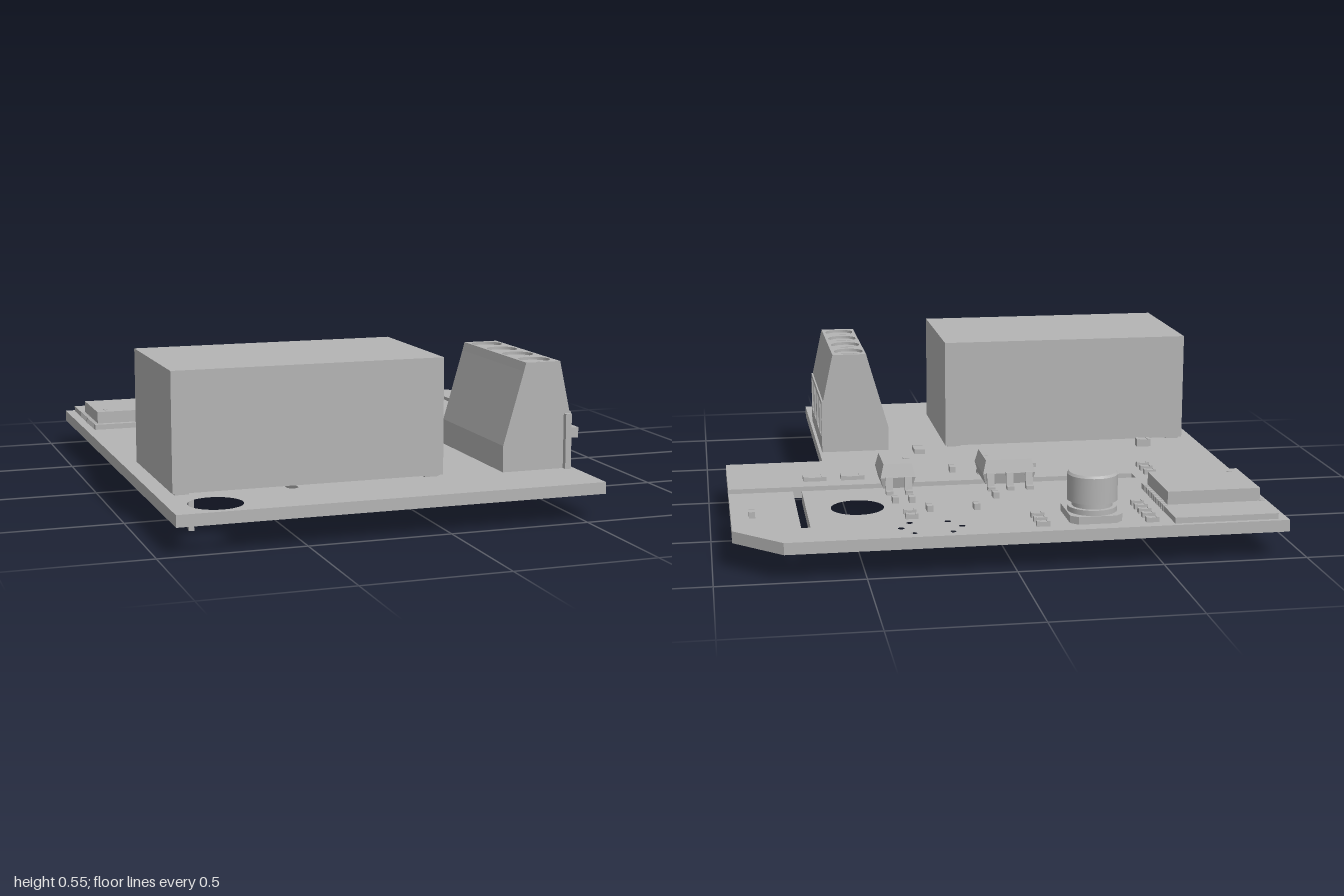
import * as THREE from 'three';

const TOP = 0.136; // upper face of the board

export function createModel() {
  const root = new THREE.Group();
  const grey = new THREE.MeshStandardMaterial({ color: 0xb4b4b4 });
  grey.name = 'plain grey';
  const greyDouble = grey.clone();
  greyDouble.side = THREE.DoubleSide;

  const add = (name, geo, parent = root, mat = grey) => {
    const mesh = new THREE.Mesh(geo, mat);
    mesh.name = name;
    parent.add(mesh);
    return mesh;
  };
  const group = (name) => {
    const g = new THREE.Group();
    g.name = name;
    root.add(g);
    return g;
  };
  // box from its extents
  const box = (name, x0, x1, y0, y1, z0, z1, parent) => {
    const g = new THREE.BoxGeometry(x1 - x0, y1 - y0, z1 - z0);
    return add(name, g.translate((x0 + x1) / 2, (y0 + y1) / 2, (z0 + z1) / 2), parent);
  };
  const cyl = (name, r0, r1, y0, y1, x, z, parent, n = 32) =>
    add(name, new THREE.CylinderGeometry(r1, r0, y1 - y0, n).translate(x, (y0 + y1) / 2, z), parent);
  const polygon = (pts) => new THREE.Shape(pts.map(([a, b]) => new THREE.Vector2(a, b)));
  const extrude = (shape, depth) =>
    new THREE.ExtrudeGeometry(shape, { depth, bevelEnabled: false, curveSegments: 24 });
  const roundHole = (shape, x, y, r) => {
    const p = new THREE.Path();
    p.absarc(x, y, r, 0, Math.PI * 2, true);
    shape.holes.push(p);
  };
  // box with a smaller top
  const taper = (x0, x1, y0, y1, z0, z1, inset, flip) => {
    const g = new THREE.BoxGeometry(x1 - x0, y1 - y0, z1 - z0).toNonIndexed();
    const p = g.attributes.position;
    for (let i = 0; i < p.count; i++) {
      if ((p.getY(i) > 0) !== flip) {
        p.setX(i, p.getX(i) - Math.sign(p.getX(i)) * inset);
        p.setZ(i, p.getZ(i) - Math.sign(p.getZ(i)) * inset);
      }
    }
    g.computeVertexNormals();
    return g.translate((x0 + x1) / 2, (y0 + y1) / 2, (z0 + z1) / 2);
  };

  // circuit board with isolation slots and holes (shape y is -z)
  const outline = polygon([
    [-0.935, 1], [0.77, 1], [0.932, 0.84], [0.932, 0.378], [0.703, 0.378], [0.703, 0.838],
    [0.672, 0.838], [0.672, 0.378], [-0.555, 0.378], [-0.555, 0.318], [0.932, 0.318],
    [0.932, -0.042], [0.567, -0.042], [0.567, -1], [-0.935, -1]]);
  roundHole(outline, -0.775, -0.88, 0.092);
  roundHole(outline, 0.495, 0.62, 0.092);
  for (const [x, z] of [[0.21, 0.955], [0.34, 0.955], [0.17, 0.895], [0.375, 0.895], [0.21, 0.835], [0.34, 0.835]])
    roundHole(outline, x, z, 0.011);
  const slit = new THREE.Path();
  slit.absarc(-0.47, -0.24, 0.02, 0, Math.PI, false);
  slit.absarc(-0.47, -0.73, 0.02, Math.PI, Math.PI * 2, false);
  slit.closePath();
  outline.holes.push(slit);
  add('board', extrude(outline, TOP - 0.095).rotateX(-Math.PI / 2).translate(0, 0.095, 0));

  // relay
  const relay = group('relay');
  box('relayCase', -0.885, 0.072, 0.144, 0.554, 0.18, 0.74, relay);
  for (const [x, z] of [[-0.85, 0.22], [-0.85, 0.7], [0.035, 0.22], [0.035, 0.7]])
    box('relayFoot', x - 0.025, x + 0.025, TOP, 0.144, z - 0.025, z + 0.025, relay);
  for (const [x, z] of [[-0.808, 0.26], [-0.808, 0.672], [-0.005, 0.4], [-0.005, 0.535]])
    box('relayPin', x - 0.009, x + 0.009, 0, 0.144, z - 0.009, z + 0.009, relay);

  // screw terminal block
  const term = group('terminalBlock');
  const ports = [0.255, 0.395, 0.535, 0.675];
  add('terminalBody', extrude(polygon([[0.297, TOP], [0.49, TOP], [0.49, 0.338], [0.55, 0.338],
    [0.517, 0.49], [0.372, 0.49], [0.297, 0.23]]), 0.56).translate(0, 0, 0.18), term);
  const panel = polygon([[-0.74, TOP], [-0.18, TOP], [-0.18, 0.338], [-0.74, 0.338]]);
  for (const z of ports) {
    const p = new THREE.Path();
    [[-0.05, 0.19], [-0.05, 0.32], [0.05, 0.32], [0.05, 0.19]].forEach(([a, y], i) =>
      i ? p.lineTo(a - z, y) : p.moveTo(a - z, y));
    p.closePath();
    panel.holes.push(p);
  }
  add('terminalFront', extrude(panel, 0.066).rotateY(Math.PI / 2).translate(0.49, 0, 0), term);
  for (const z of ports) {
    const funnel = new THREE.CylinderGeometry(Math.SQRT1_2, Math.SQRT1_2 * 0.65, 0.06, 4, 1, true)
      .toNonIndexed().rotateY(Math.PI / 4).rotateZ(-Math.PI / 2).scale(1, 0.13, 0.1);
    funnel.computeVertexNormals();
    add('wireFunnel', funnel.translate(0.525, 0.255, z), term, greyDouble);
    cyl('terminalPin', 0.012, 0.012, 0.04, TOP, 0.44, z, term, 12);
  }
  // sloping top with sunk screws
  const screws = [0.247, 0.387, 0.527, 0.667];
  const cap = polygon([[0.372, -0.74], [0.517, -0.74], [0.517, -0.18], [0.372, -0.18]]);
  screws.forEach((z) => roundHole(cap, 0.443, -z, 0.056));
  const capGeo = extrude(cap, 0.03).rotateX(-Math.PI / 2).translate(0, 0.49, 0);
  const cp = capGeo.attributes.position;
  for (let i = 0; i < cp.count; i++) {
    if (cp.getY(i) < 0.51) continue;
    if (cp.getX(i) < 0.373) cp.setX(i, 0.38);
    if (cp.getX(i) > 0.516) cp.setX(i, 0.51);
  }
  capGeo.computeVertexNormals();
  add('terminalTop', capGeo, term);
  for (const z of screws)
    for (const side of [0, 1]) {
      const half = new THREE.Shape();
      half.absarc(0, 0, 0.053, 0.17 + side * Math.PI, Math.PI - 0.17 + side * Math.PI, false);
      add('screwHalf', extrude(half, 0.02).rotateX(-Math.PI / 2).translate(0.443, 0.49, z), term);
    }
  box('terminalTab', 0.528, 0.55, TOP, 0.333, 0.74, 0.76, term);

  // radio module with metal shield
  const radio = group('radioModule');
  box('moduleBoard', -0.9, -0.54, TOP, 0.156, -0.982, -0.525, radio);
  box('moduleShield', -0.885, -0.556, 0.156, 0.202, -0.822, -0.55, radio);
  cyl('shieldDot', 0.009, 0.009, 0.202, 0.204, -0.845, -0.592, radio, 16);
  for (let i = 0; i < 12; i++)
    for (const x of [-0.902, -0.554])
      box('modulePad', x, x + 0.016, TOP, 0.158, -0.83 + i * 0.024, -0.818 + i * 0.024, radio);

  // power coil: chamfered base, neck and drum
  const coil = group('coil');
  const plate = polygon([[-0.09, 0.065], [-0.065, 0.09], [0.065, 0.09], [0.09, 0.065],
    [0.09, -0.09], [-0.09, -0.09]]);
  add('coilBase', extrude(plate, 0.026).rotateX(-Math.PI / 2).translate(-0.282, TOP, -0.855), coil);
  add('coilDrum', new THREE.LatheGeometry([[0, 0.16], [0.085, 0.16], [0.085, 0.18], [0.07, 0.18], [0.07, 0.2],
    [0.086, 0.2], [0.086, 0.29], [0.08, 0.298], [0, 0.298]].flatMap(([r, y], i) =>
    i ? [new THREE.Vector2(r, y), new THREE.Vector2(r, y)] : [new THREE.Vector2(r, y)]), 40)
    .translate(-0.282, 0, -0.855), coil);

  // optocouplers with bent leads
  const lead = polygon([[0.09, 0.195], [0.11, 0.195], [0.118, 0.15], [0.135, 0.15], [0.135, TOP],
    [0.106, TOP], [0.1, 0.183], [0.09, 0.183]]);
  const chip = (name, x0, x1, leads, notchX) => {
    const g = group(name);
    const zc = -0.35;
    add('chipLower', taper(x0, x1, 0.15, 0.19, zc - 0.097, zc + 0.097, 0.01, true), g);
    add('chipUpper', taper(x0, x1, 0.19, 0.238, zc - 0.097, zc + 0.097, 0.012, false), g);
    const dir = notchX > (x0 + x1) / 2 ? Math.PI : 0;
    add('chipNotch', new THREE.CylinderGeometry(0.024, 0.024, 0.003, 20, 1, false, dir, Math.PI)
      .translate(notchX, 0.238, zc), g);
    for (const x of leads)
      for (const s of [1, -1])
        add('chipLead', extrude(lead, 0.026).translate(0, 0, -0.013).rotateY(-s * Math.PI / 2)
          .translate(x, 0, zc), g);
  };
  chip('wideOptocoupler', -0.165, 0.025, [-0.14, -0.07, 0], 0.013);
  chip('narrowOptocoupler', 0.27, 0.395, [0.297, 0.366], 0.282);

  // small surface parts: [x, z, width, depth, height]
  const parts = [
    ...[-0.945, -0.89, -0.838, -0.787, -0.737].map((z) => [-0.47, z, 0.045, 0.021, 0.018]),
    ...[-0.937, -0.885, -0.833].map((z) => [-0.097, z, 0.045, 0.021, 0.018]),
    ...[-0.78, -0.728].map((z) => [0.325, z, 0.043, 0.022, 0.018]),
    ...[-0.332, -0.278, -0.225].map((z) => [-0.62, z, 0.045, 0.022, 0.018]),
    ...[[0.09, -0.693], [0.253, -0.693], [0.86, -0.677], [0, -0.562], [0.3, -0.57], [0.358, -0.57], [0.1, -0.184]]
      .map(([x, z]) => [x, z, 0.021, 0.044, 0.022]),
    [-0.18, -0.152, 0.085, 0.044, 0.016], [0.477, -0.23, 0.085, 0.042, 0.016],
    [0.615, -0.23, 0.085, 0.042, 0.016], [-0.703, 0.093, 0.054, 0.034, 0.03],
    [0.185, 0.136, 0.04, 0.085, 0.018]];
  for (const [x, z, w, d, h] of parts) {
    const g = group('surfacePart');
    const long = w > d;
    const bw = long ? w * 0.55 : w, bd = long ? d : d * 0.55;
    box('partBody', x - bw / 2, x + bw / 2, TOP, TOP + h - 0.002, z - bd / 2, z + bd / 2, g);
    for (const s of [-1, 1]) {
      const cx = x + (long ? s * w * 0.3875 : 0), cz = z + (long ? 0 : s * d * 0.3875);
      const hw = long ? w * 0.1125 : w / 2, hd = long ? d / 2 : d * 0.1125;
      box('partEnd', cx - hw, cx + hw, TOP, TOP + h, cz - hd, cz + hd, g);
    }
  }
  return root;
}
